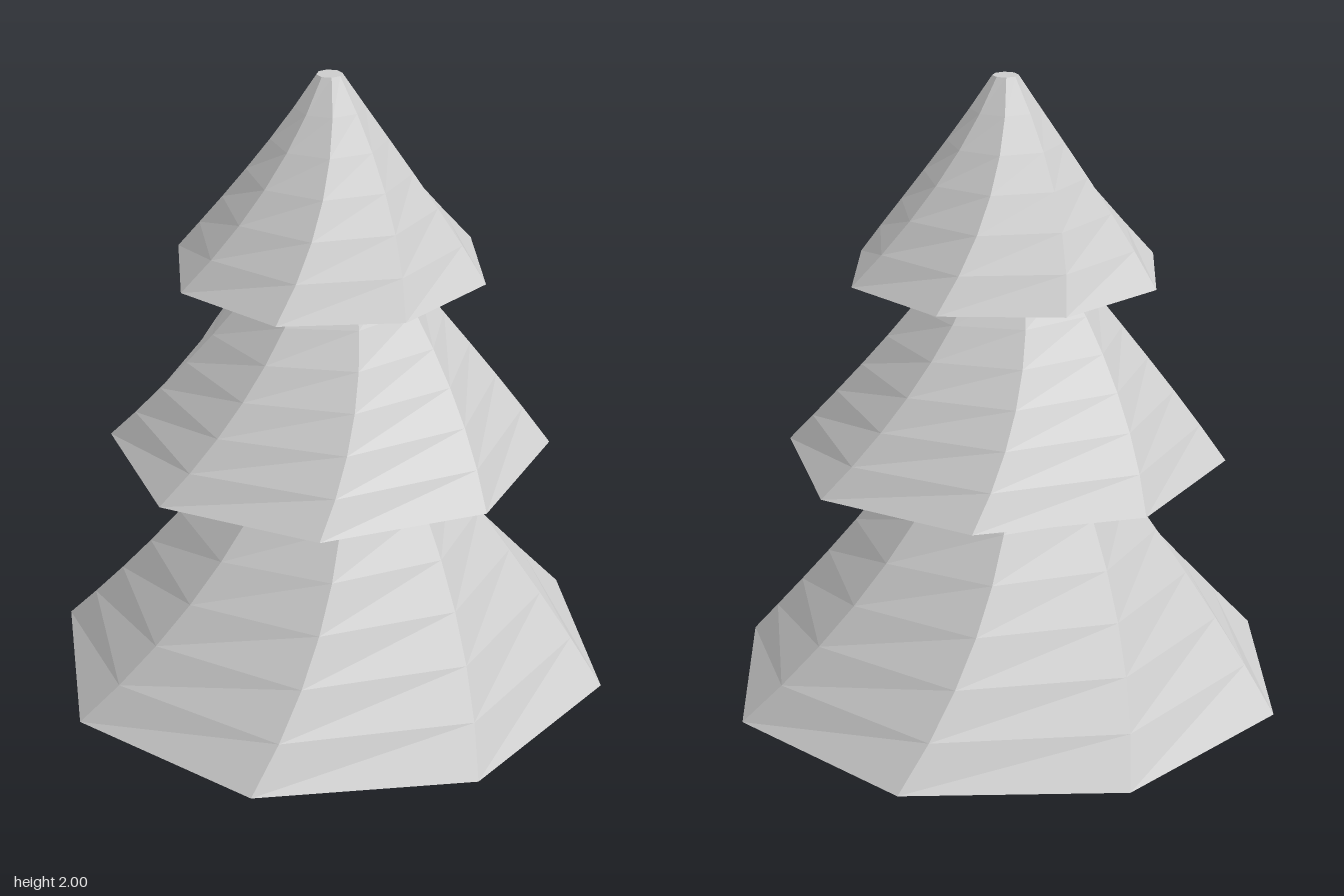
import * as THREE from 'three';

const SIDES = 8;
const ROWS = 6;

// Eight-sided tapered tier that twists as it rises, with a slightly hollow profile.
function makeTier({ name, y0, y1, rBottom, rTop, start, twist, hollow }) {
  const height = y1 - y0;
  const geometry = new THREE.CylinderGeometry(rTop, rBottom, height, SIDES, ROWS);
  geometry.translate(0, height / 2, 0);

  const pos = geometry.attributes.position;
  for (let i = 0; i < pos.count; i++) {
    const x = pos.getX(i), y = pos.getY(i), z = pos.getZ(i);
    const t = y / height;
    const r = Math.hypot(x, z);
    if (r < 1e-6) continue; // cap centres stay put
    const radius = r - hollow * 4 * t * (1 - t);
    const angle = Math.atan2(z, x) + THREE.MathUtils.degToRad(start - twist * t);
    pos.setXYZ(i, radius * Math.cos(angle), y, radius * Math.sin(angle));
  }
  geometry.computeVertexNormals();

  const material = new THREE.MeshStandardMaterial({ color: 0xcccccc, flatShading: true });
  const mesh = new THREE.Mesh(geometry, material);
  mesh.name = name;
  mesh.position.y = y0;
  return mesh;
}

export function createModel() {
  const tree = new THREE.Group();
  tree.name = 'tree';

  // Three stacked skirts of foliage, widest at the ground.
  const tiers = [
    { name: 'lowerFoliage', y0: 0, y1: 0.78, rBottom: 0.912, rTop: 0.3, start: 19.2, twist: 24, hollow: 0.02 },
    { name: 'middleFoliage', y0: 0.78, y1: 1.38, rBottom: 0.702, rTop: 0.22, start: 6.5, twist: 24, hollow: 0.008 },
    { name: 'topFoliage', y0: 1.38, y1: 2, rBottom: 0.503, rTop: 0.04, start: 22.5, twist: 28, hollow: 0.015 },
  ];
  for (const tier of tiers) tree.add(makeTier(tier));

  return tree;
}
